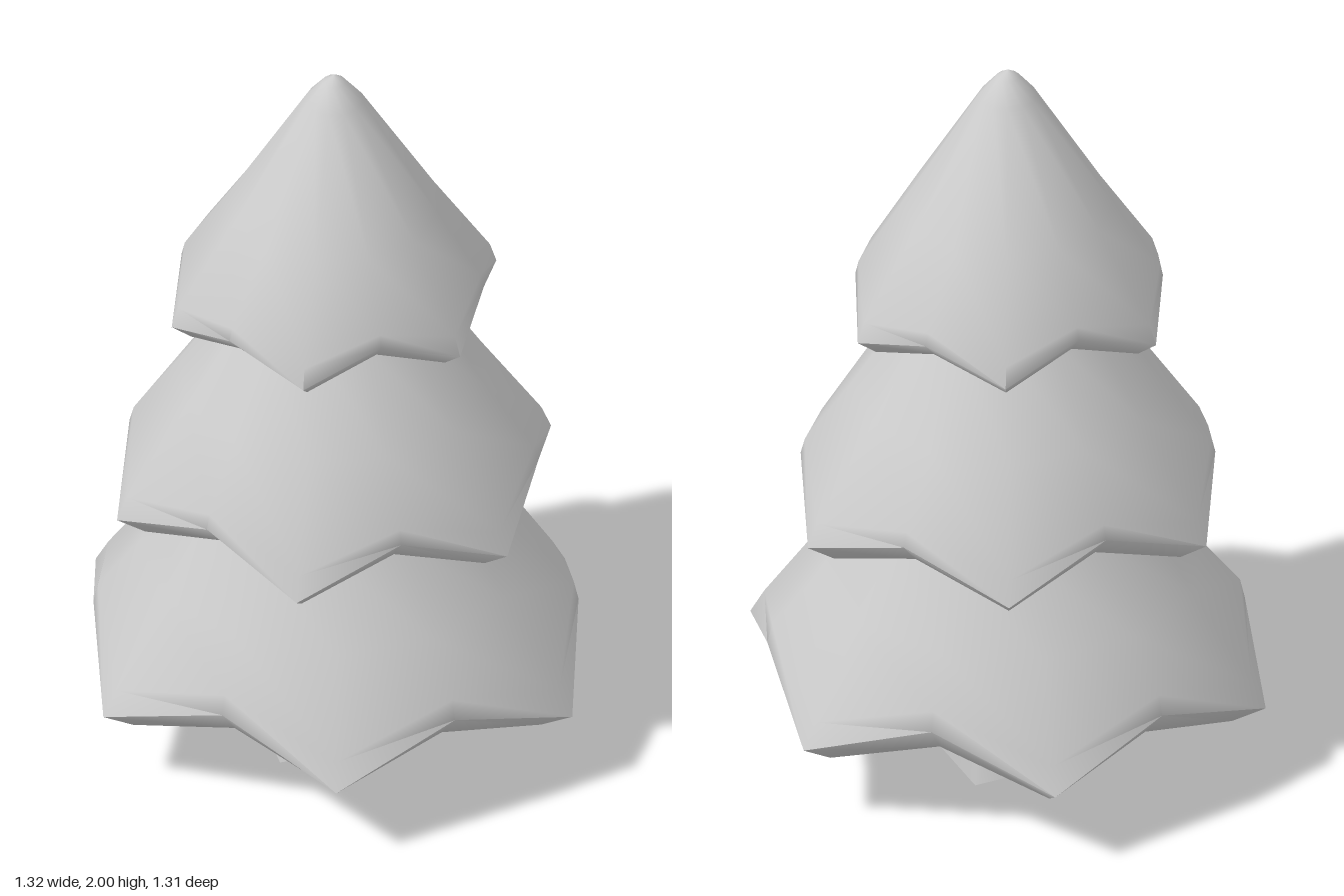
import * as THREE from 'three';
import { toCreasedNormals } from 'three/addons/utils/BufferGeometryUtils.js';

const SIDES = 12; // six pointed corners alternating with six notches

// Each ring gives a radius and height for the corners and for the notches.
// Radii of 'rim' rings are multiples of the tier's own rim outline.
function tierGeometry({ phase, rim, upper, shoulder, ridge, hem, under }) {
  const rings = [
    ...upper.map(([r, y]) => ({ corner: [r, y], notch: [r, y] })),
    ...[shoulder, ridge, hem].map(([corner, notch]) => ({ corner, notch, onRim: true })),
    { corner: [0, under], notch: [0, under] },
  ];
  const positions = [], index = [];
  for (const ring of rings) {
    for (let j = 0; j < SIDES; j++) {
      const [r, y] = j % 2 ? ring.notch : ring.corner;
      const radius = ring.onRim ? r * rim[j] : r;
      const a = THREE.MathUtils.degToRad(phase + j * 30);
      positions.push(radius * Math.cos(a), y, radius * Math.sin(a));
    }
  }
  for (let i = 0; i < rings.length - 1; i++) {
    for (let j = 0; j < SIDES; j++) {
      const k = (j + 1) % SIDES;
      const a = i * SIDES + j, b = i * SIDES + k;
      const c = a + SIDES, d = b + SIDES;
      if (rings[i].corner[0] > 0) index.push(a, b, c);
      if (rings[i + 1].corner[0] > 0) index.push(b, d, c);
    }
  }
  const geometry = new THREE.BufferGeometry();
  geometry.setAttribute('position', new THREE.Float32BufferAttribute(positions, 3));
  geometry.setIndex(index);
  return toCreasedNormals(geometry, 1.05);
}

const TIERS = {
  lowerBranches: {
    phase: -15,
    rim: [0.684, 0.625, 0.70, 0.61, 0.68, 0.58, 0.684, 0.615, 0.70, 0.61, 0.68, 0.58],
    upper: [[0, 0.95], [0.29, 0.92], [0.385, 0.74], [0.50, 0.53]],
    shoulder: [[0.945, 0.295], [0.98, 0.40]],
    ridge: [[1, 0.225], [1, 0.345]],
    hem: [[0.87, 0.168], [0.89, 0.265]],
    under: 0.32,
  },
  middleBranches: {
    phase: -5,
    rim: [0.592, 0.53, 0.574, 0.492, 0.577, 0.51, 0.592, 0.53, 0.584, 0.497, 0.59, 0.536],
    upper: [[0, 1.45], [0.17, 1.43], [0.25, 1.30], [0.40, 1.06]],
    shoulder: [[0.955, 0.81], [0.98, 0.89]],
    ridge: [[1, 0.745], [1, 0.85]],
    hem: [[0.87, 0.69], [0.89, 0.785]],
    under: 0.82,
  },
  topBranches: {
    phase: -4,
    rim: [0.44, 0.39, 0.424, 0.362, 0.43, 0.41, 0.44, 0.396, 0.44, 0.37, 0.44, 0.41],
    upper: [[0, 2.0], [0.03, 1.98], [0.075, 1.925], [0.27, 1.60]],
    shoulder: [[0.96, 1.365], [0.98, 1.42]],
    ridge: [[1, 1.31], [1, 1.385]],
    hem: [[0.88, 1.268], [0.90, 1.34]],
    under: 1.36,
  },
};

export function createModel() {
  const tree = new THREE.Group();
  tree.name = 'pineTree';
  const material = new THREE.MeshStandardMaterial({ color: 0xcccccc });

  // Square tapered trunk
  const trunkGeometry = new THREE.CylinderGeometry(0.18, 0.266, 0.42, 4);
  trunkGeometry.rotateY(Math.PI / 4);
  const trunk = new THREE.Mesh(trunkGeometry, material);
  trunk.name = 'trunk';
  trunk.position.set(-0.007, 0.21, 0);
  tree.add(trunk);

  // Three overlapping tiers with zigzag hems
  for (const [name, spec] of Object.entries(TIERS)) {
    const tier = new THREE.Mesh(tierGeometry(spec), material);
    tier.name = name;
    tree.add(tier);
  }
  return tree;
}
